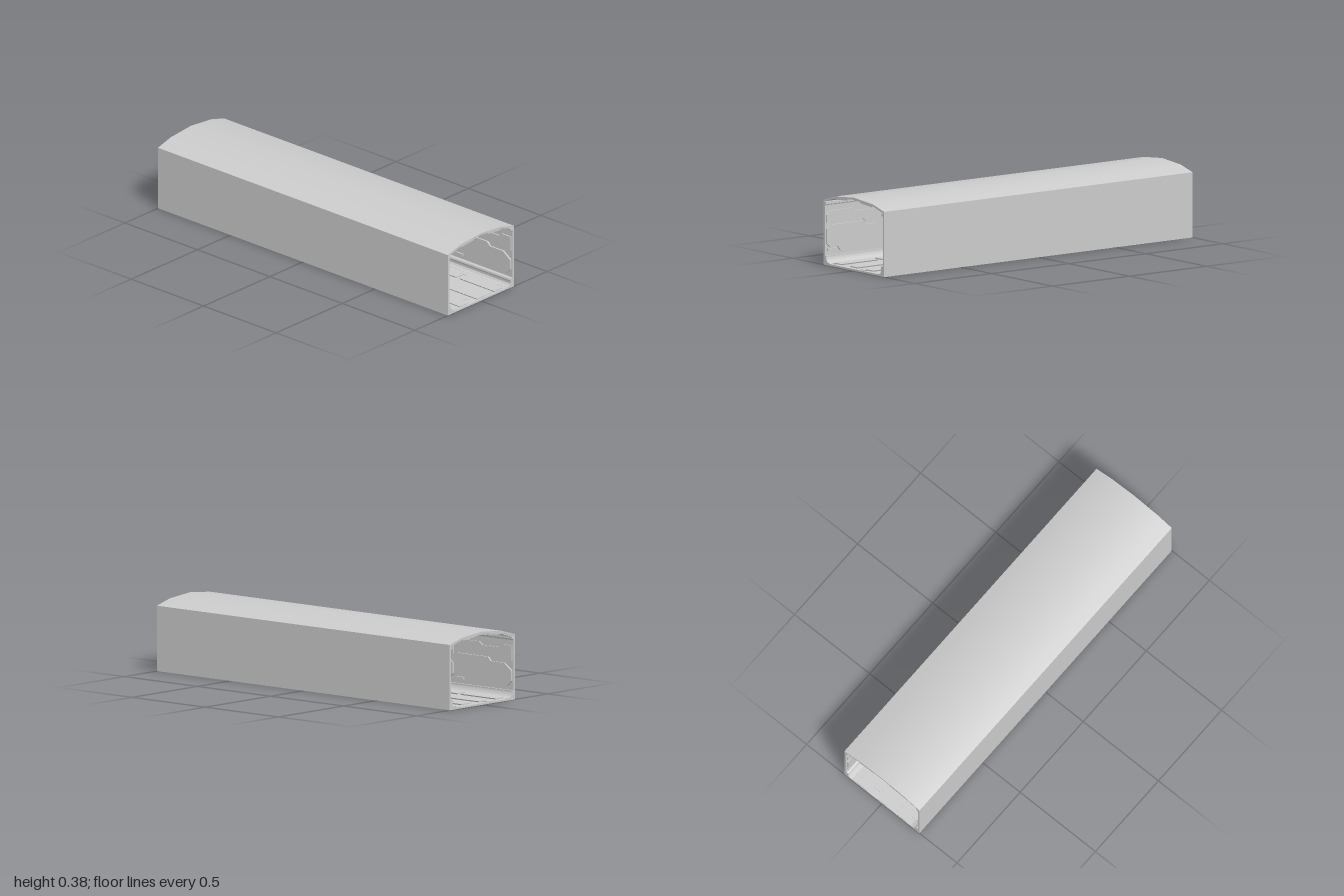
import * as THREE from 'three';
import { toCreasedNormals } from 'three/addons/utils/BufferGeometryUtils.js';

const material = new THREE.MeshStandardMaterial({ color: 0xcccccc });

function add(parent, name, geometry) {
  const mesh = new THREE.Mesh(geometry, material);
  mesh.name = name;
  parent.add(mesh);
  return mesh;
}

// Sweeps a closed cross-section of [z, y] points along x
function sweep(points, x0, x1, crease = 0.4) {
  const shape = new THREE.Shape(points.map(([z, y]) => new THREE.Vector2(-z, y)));
  const g = new THREE.ExtrudeGeometry(shape, { depth: x1 - x0, bevelEnabled: false });
  g.rotateY(Math.PI / 2).translate(x0, 0, 0);
  return toCreasedNormals(g, crease);
}

function box(x0, x1, y0, y1, z0, z1) {
  return new THREE.BoxGeometry(x1 - x0, y1 - y0, z1 - z0)
    .translate((x0 + x1) / 2, (y0 + y1) / 2, (z0 + z1) / 2);
}

// Wall panel outline in [x, y], raised from the inner face of the wall
function plate(points, z0, z1) {
  const shape = new THREE.Shape(points.map(([x, y]) => new THREE.Vector2(x, y)));
  return new THREE.ExtrudeGeometry(shape, { depth: z1 - z0, bevelEnabled: false }).translate(0, 0, z0);
}

// Height of the faceted ceiling at a given z, measured on the crown line
function archHeight(z) {
  const a = Math.abs(z);
  return a < 0.153 ? -0.014 * a / 0.153 : -0.014 - 0.027 * (a - 0.153) / 0.097;
}

// Arched slab between two z positions with the given crown heights
function archSection(z0, z1, bottom, top) {
  const zs = [z0, -0.153, 0, 0.153, z1].filter((z) => z >= z0 && z <= z1);
  return [
    ...zs.map((z) => [z, bottom + archHeight(z)]),
    ...zs.reverse().map((z) => [z, top + archHeight(z)]),
  ];
}

function buildSide() {
  const side = new THREE.Group();
  add(side, 'wall', box(-1, 1, 0, 0.327, 0.239, 0.25));
  add(side, 'corniceRail', sweep([
    [0.24, 0.303], [0.237, 0.311], [0.227, 0.314], [0.227, 0.327], [0.24, 0.327],
  ], -1, 1));
  add(side, 'skirting', box(-1, 1, 0.006, 0.048, 0.229, 0.24));

  // Interlocking lower panels and shorter upper panels
  const count = 5, w = 2 / count;
  for (let i = 0; i < count; i++) {
    const a = -1 + i * w + 0.008, b = a + w - 0.016;
    add(side, 'lowerWallPanel', plate([
      [a + 0.03, 0.066], [b - 0.09, 0.066], [b - 0.07, 0.09], [b - 0.02, 0.09],
      [b, 0.11], [b, 0.185], [b - 0.02, 0.205], [a + 0.16, 0.205],
      [a + 0.14, 0.185], [a + 0.05, 0.185], [a, 0.15], [a, 0.095],
    ], 0.23, 0.24));
    add(side, 'upperWallPanel', plate([
      [a, 0.2], [a + 0.13, 0.2], [a + 0.15, 0.218], [b, 0.218],
      [b, 0.258], [b - 0.02, 0.278], [a + 0.22, 0.278], [a + 0.2, 0.262],
      [a + 0.08, 0.262], [a + 0.06, 0.278], [a, 0.278],
    ], 0.232, 0.24));
    add(side, 'wallVent', box(b - 0.055, b - 0.005, 0.07, 0.083, 0.231, 0.24));
  }
  return side;
}

export function createModel() {
  const model = new THREE.Group();
  model.name = 'corridor';

  // Arched roof
  const roof = archSection(-0.25, 0.25, 0.367, 0.378);
  add(model, 'roof', sweep(roof, -1, 1));

  // Staggered ceiling panels under the arch
  const bands = [[-0.236, -0.157], [-0.149, -0.052], [-0.044, 0.044], [0.052, 0.149], [0.157, 0.236]];
  bands.forEach(([z0, z1], row) => {
    const shift = row % 2 ? 0.1 : 0;
    for (let i = 0; i < 9; i++) {
      const x0 = Math.max(-1, -1 - shift + i * 0.25 + 0.008);
      const x1 = Math.min(1, -1 - shift + (i + 1) * 0.25 - 0.008);
      if (x1 - x0 > 0.03 && (i + row * 2) % 4 !== 3) {
        add(model, 'ceilingPanel', sweep(archSection(z0, z1, 0.361, 0.369), x0, x1));
      }
    }
  });

  // Side walls, the second turned to face the first
  const left = buildSide();
  left.name = 'frontSide';
  const right = buildSide();
  right.name = 'backSide';
  right.rotation.y = Math.PI;
  model.add(left, right);

  // Floor slab and curved edges
  add(model, 'floor', box(-1, 1, 0, 0.009, -0.245, 0.245));
  add(model, 'frontCove', sweep([
    [0.19, 0.008], [0.19, 0.01], [0.212, 0.014], [0.222, 0.023],
    [0.228, 0.036], [0.23, 0.047], [0.234, 0.047], [0.234, 0.008],
  ], -1, 1, 0.6));
  add(model, 'backCove', sweep([
    [-0.2, 0.008], [-0.2, 0.01], [-0.216, 0.013], [-0.224, 0.022], [-0.225, 0.032],
    [-0.221, 0.042], [-0.224, 0.05], [-0.232, 0.054], [-0.24, 0.052], [-0.24, 0.008],
  ], -1, 1, 0.6));

  // Three rows of raised floor plates with bevelled sides
  [-0.13, 0, 0.13].forEach((z, row) => {
    for (let i = 0; i < 8; i++) {
      const x0 = -1 + i * 0.25 + 0.012, x1 = x0 + 0.226;
      add(model, 'floorPlate', sweep([
        [z - 0.028, 0.016], [z + 0.028, 0.016], [z + 0.031, 0.022], [z - 0.031, 0.022],
      ], i === 0 ? -1 : x0, i === 7 ? 1 : x1));
    }
  });

  // Low paving between the raised rows
  [-0.182, -0.065, 0.065, 0.182].forEach((z, row) => {
    const half = Math.abs(z) > 0.1 ? 0.014 : 0.028;
    for (let i = 0; i < 6; i++) {
      const x0 = -1 + i / 3 + (row % 2) * 0.04;
      add(model, 'floorSlat', box(x0, Math.min(1, x0 + 0.28), 0.008, 0.012, z - half, z + half));
    }
  });

  return model;
}
